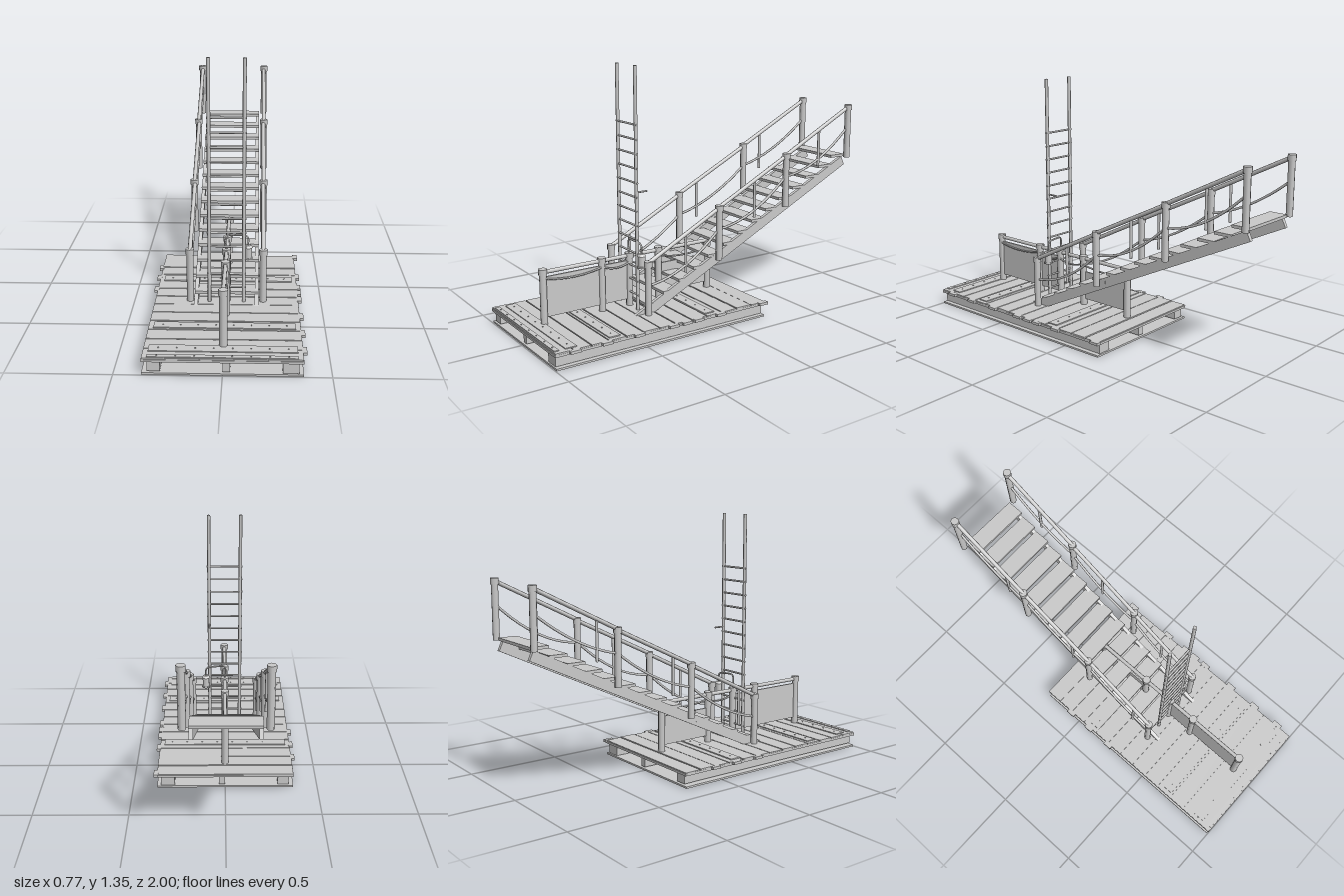
import * as THREE from 'three';

export function createModel() {
  const model = new THREE.Group();
  const wood = new THREE.MeshStandardMaterial({ color: 0xcacaca });
  wood.name = 'pale grey wood';
  let seed = 7;
  const rand = () => (seed = (seed * 16807) % 2147483647) / 2147483647;
  const V = (x, y, z) => new THREE.Vector3(x, y, z);

  const add = (name, geometry, x = 0, y = 0, z = 0) => {
    const mesh = new THREE.Mesh(geometry, wood);
    mesh.name = name;
    mesh.position.set(x, y, z);
    model.add(mesh);
    return mesh;
  };
  const box = (name, w, h, d, x, y, z) => add(name, new THREE.BoxGeometry(w, h, d), x, y, z);
  // Round bar between two points
  const bar = (name, a, b, r, sides = 8) => {
    const mesh = add(name, new THREE.CylinderGeometry(r, r, a.distanceTo(b), sides));
    mesh.position.copy(a).add(b).multiplyScalar(0.5);
    mesh.quaternion.setFromUnitVectors(V(0, 1, 0), b.clone().sub(a).normalize());
    return mesh;
  };
  // Rope hanging between two points
  const rope = (name, a, b, sag, r) => {
    const mid = a.clone().add(b).multiplyScalar(0.5);
    mid.y -= sag * 2;
    return add(name, new THREE.TubeGeometry(new THREE.QuadraticBezierCurve3(a, mid, b), 12, r, 6));
  };
  // Post with a slightly wider cap
  const post = (name, x, y0, y1, z, r = 0.018) => {
    bar(name, V(x, y0, z), V(x, y1, z), r);
    bar(name + 'Cap', V(x, y1 - 0.03, z), V(x, y1, z), r + 0.004);
  };

  // Base sheet, joists and deck
  box('baseSheet', 0.74, 0.01, 1.23, 0, 0.005, 0.38);
  box('leftJoist', 0.075, 0.054, 1.22, 0.312, 0.04, 0.38);
  box('rightJoist', 0.06, 0.05, 1.22, -0.315, 0.042, 0.38);
  box('centreJoist', 0.033, 0.05, 1.22, 0.018, 0.042, 0.38);
  box('deck', 0.74, 0.012, 1.24, 0, 0.072, 0.38);
  const plankCount = 13;
  for (let i = 0; i < plankCount; i++) {
    const pitch = 1.24 / plankCount;
    const h = 0.006 + rand() * 0.003;
    box('deckPlank', 0.738, h, pitch - 0.006, 0, 0.077 + h / 2, -0.24 + pitch * (i + 0.5));
  }
  // Nailed battens across the deck
  for (const z of [0.11, 0.67, 0.905, 0.98]) {
    box('batten', 0.69, 0.006, z > 0.95 ? 0.025 : 0.06, 0, 0.087, z);
    for (let i = 0; i < 8; i++)
      add('nail', new THREE.CylinderGeometry(0.004, 0.004, 0.003, 6), -0.3 + i * 0.086, 0.0915, z);
  }
  // Small plank ends jutting out at the deck edges
  for (const z of [-0.22, 0.06, 0.2, 0.27, 0.35, 0.55, 0.73, 0.9])
    box('plankEnd', 0.025, 0.014, 0.055, 0.375, 0.078, z);
  for (const z of [-0.05, 0.09, 0.24]) box('plankEnd', 0.025, 0.014, 0.05, -0.375, 0.078, z);

  // Stair stringers
  const side = new THREE.Shape([
    [0.963, 0.76], [0.985, 0.712], [-0.44, 0.028], [-0.465, 0.075],
  ].map(([x, y]) => new THREE.Vector2(x, y)));
  for (const s of [-1, 1]) {
    const g = new THREE.ExtrudeGeometry(side, { depth: 0.02, bevelEnabled: false });
    const stringer = add(s > 0 ? 'leftStringer' : 'rightStringer', g, s * 0.155 - 0.01, 0, 0);
    stringer.rotation.y = Math.PI / 2;
  }
  // Treads, each a little crooked
  for (let i = 0; i < 14; i++) {
    const tread = box('tread', 0.33, 0.015, 0.095, 0, 0.768 - 0.0495 * i, -0.93 + 0.0965 * i);
    tread.rotation.y = (rand() - 0.5) * 0.03;
  }

  // Stair railings with posts, handrails, ropes and thin stakes
  const stations = [[0.38, 0.085, 0.37], [-0.065, 0.3, 0.6], [-0.52, 0.53, 0.83], [-0.975, 0.76, 1.065]];
  for (const s of [-1, 1]) {
    const x = s * 0.187;
    stations.forEach(([z, y0, y1], i) => {
      const px = x + s * i * 0.002;
      post('railPost', px, y0, y1, z);
      if (i === 3) return;
      const [z2, , top2] = stations[i + 1];
      bar('handrail', V(px, y1 - 0.01, z), V(px, top2 - 0.015, z2), 0.011);
      rope('sideRope', V(px, y1 - 0.13, z), V(px, top2 - 0.13, z2), 0.035 + 0.015 * (s > 0), 0.007);
      const t = s > 0 ? 0.52 : 0.26;
      const zs = z + (z2 - z) * t;
      const ys = y1 + (top2 - y1) * t;
      bar('railStake', V(px, ys - 0.22, zs), V(px, ys - 0.02, zs), 0.008, 6);
    });
  }

  // Central fence with posts, top rail and thin panels
  const fence = [0.875, 0.545, 0.38, 0.2, -0.12];
  fence.forEach((z, i) => {
    post('fencePost', 0, 0.08, i === 4 ? 0.355 : 0.372, z, 0.019);
    if (i === 4) return;
    const z2 = fence[i + 1];
    bar('fenceRail', V(0, 0.355, z), V(0, 0.355, z2), 0.011);
    if (i !== 2) {
      const y1 = i === 3 ? 0.28 : 0.33;
      box('fencePanel', 0.01, y1 - 0.12, z - z2, 0, (y1 + 0.12) / 2, (z + z2) / 2);
    }
    rope('fenceRope', V(0.012, 0.325, z), V(0.012, 0.325, z2), 0.02, 0.005);
  });

  // Ladder
  for (const s of [-1, 1])
    bar('ladderPole', V(s * 0.088, 0.08, 0.383), V(s * 0.088, 1.35, 0.383), 0.0095);
  for (let i = 0; i < 13; i++) {
    const y = 1.055 - 0.0743 * i;
    bar('ladderRung', V(-0.1, y, 0.383), V(0.1, y, 0.383), 0.0055);
  }
  bar('ladderPeg', V(0.088, 0.71, 0.38), V(0.088, 0.71, 0.32), 0.005, 6);

  // Lantern hanging from a bent hook
  const hook = new THREE.CatmullRomCurve3([
    V(0, 0.36, 0.38), V(0, 0.44, 0.38), V(0.05, 0.445, 0.375), V(0.105, 0.435, 0.37), V(0.11, 0.385, 0.37),
  ]);
  add('lanternHook', new THREE.TubeGeometry(hook, 20, 0.005, 6));
  add('lantern', new THREE.CylinderGeometry(0.02, 0.02, 0.06, 10), 0.11, 0.35, 0.37);
  add('lanternTop', new THREE.CylinderGeometry(0.014, 0.024, 0.012, 10), 0.11, 0.384, 0.37);
  add('lanternBase', new THREE.CylinderGeometry(0.024, 0.024, 0.008, 10), 0.11, 0.32, 0.37);
  return model;
}
